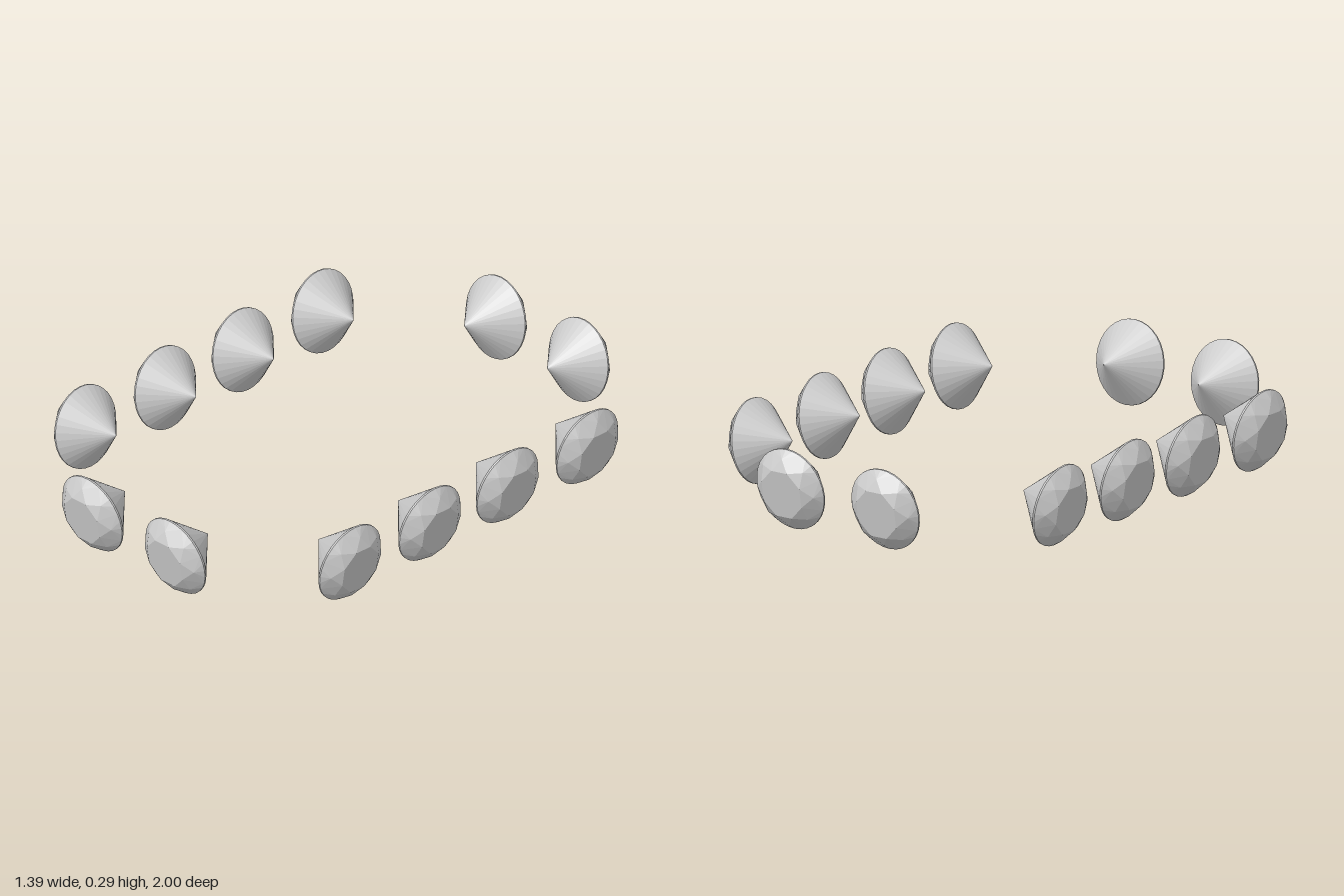
import * as THREE from 'three';

const SEGMENTS = 32; // points round the girdle
const TILT = THREE.MathUtils.degToRad(9.7);

// Round brilliant cut: table faces +z, culet points to -z
function gemGeometry() {
  const positions = [];
  const point = (step, radius, z) => {
    const a = Math.PI / 2 + (step / SEGMENTS) * Math.PI * 2;
    return [Math.cos(a) * radius, Math.sin(a) * radius * 1.04, z];
  };
  const tri = (a, b, c) => positions.push(...a, ...b, ...c);
  const upper = (i) => point(i, 0.139, 0.003);
  const lower = (i) => point(i, 0.139, -0.003);
  const tableCorner = (i) => point(i, 0.085, 0.053);
  const starTip = (i) => point(i, 0.116, 0.031);
  const tableCentre = [0, 0, 0.053];
  const culet = [0, 0, -0.15];

  // Crown: eight repeats of table wedge, star, kite and upper girdle facets
  for (let s = 0; s < SEGMENTS; s += 4) {
    const corner = tableCorner(s + 2);
    const tip = starTip(s);
    const nextTip = starTip(s + 4);
    tri(tableCentre, tableCorner(s - 2), corner);
    tri(tip, corner, tableCorner(s - 2));
    tri(corner, tip, upper(s + 2));
    tri(corner, upper(s + 2), nextTip);
    for (let i = s - 2; i < s + 2; i++) tri(tip, upper(i), upper(i + 1));
  }
  // Girdle band and pavilion
  for (let i = 0; i < SEGMENTS; i++) {
    tri(upper(i), lower(i), lower(i + 1));
    tri(upper(i), lower(i + 1), upper(i + 1));
    tri(culet, lower(i + 1), lower(i));
  }
  const geometry = new THREE.BufferGeometry();
  geometry.setAttribute('position', new THREE.Float32BufferAttribute(positions, 3));
  geometry.computeVertexNormals();
  return geometry;
}

export function createModel() {
  const model = new THREE.Group();
  model.name = 'gemRing';
  const geometry = gemGeometry();
  const material = new THREE.MeshStandardMaterial({ color: 0xcccccc, flatShading: true });

  // Every gem faces outward and leans slightly down
  const addGem = (name, x, z, turn) => {
    const gem = new THREE.Mesh(geometry, material);
    gem.name = name;
    gem.position.set(x, 0.1435, z);
    gem.rotation.set(TILT, turn, 0, 'YXZ');
    model.add(gem);
  };

  // Two gems at each end
  [-0.197, 0.197].forEach((x, i) => {
    addGem(`frontGem${i + 1}`, x, 0.934, 0);
    addGem(`backGem${i + 1}`, x, -0.934, Math.PI);
  });
  // Four gems along each side
  [-0.55, -0.18, 0.18, 0.55].forEach((z, i) => {
    addGem(`leftGem${i + 1}`, 0.628, z, Math.PI / 2);
    addGem(`rightGem${i + 1}`, -0.628, z, -Math.PI / 2);
  });
  return model;
}
